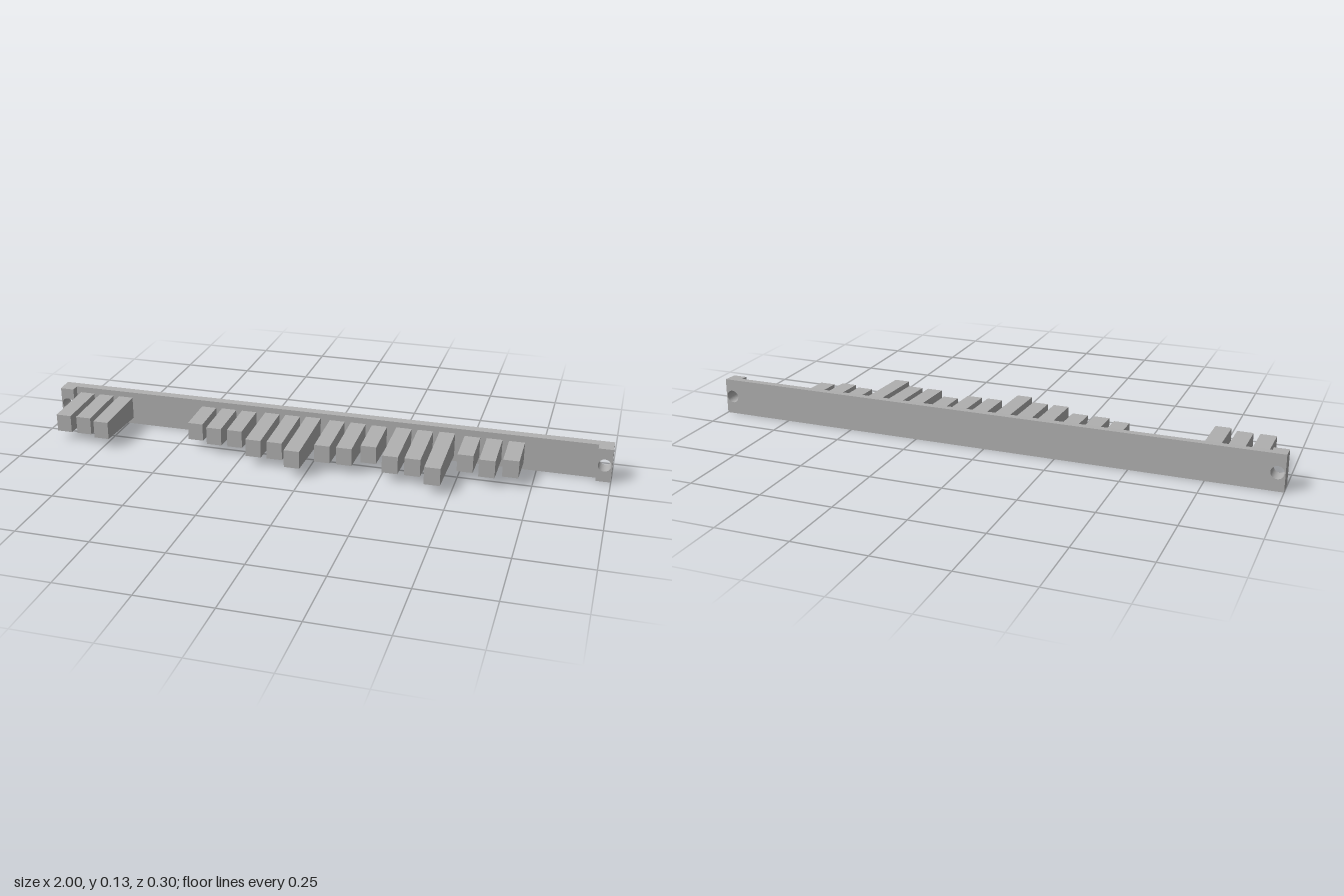
import * as THREE from 'three';

const BACK = -0.149, FACE = -0.12, PAD = -0.092, MID = 0.063;

export function createModel() {
  const model = new THREE.Group();
  model.name = 'codedBar';
  const grey = new THREE.MeshStandardMaterial({ color: 0xb0b0b0 });
  grey.name = 'plain grey';

  // Plate between two depths, drilled at the given x positions, with drafted top and bottom
  function plate(name, x0, x1, z0, z1, holes) {
    const shape = new THREE.Shape();
    shape.moveTo(x0, 0).lineTo(x1, 0).lineTo(x1, 2 * MID).lineTo(x0, 2 * MID).closePath();
    for (const x of holes) {
      shape.holes.push(new THREE.Path().absarc(x, MID, 0.022, 0, Math.PI * 2, true));
    }
    const geo = new THREE.ExtrudeGeometry(shape, { depth: z1 - z0, bevelEnabled: false, curveSegments: 24 });
    geo.translate(0, 0, z0);
    const p = geo.attributes.position;
    for (let i = 0; i < p.count; i++) {
      const d = p.getY(i) - MID;
      if (Math.abs(d) > 0.05) p.setY(i, MID + d - Math.sign(d) * 0.06 * (p.getZ(i) - BACK));
    }
    geo.computeVertexNormals();
    const mesh = new THREE.Mesh(geo, grey);
    mesh.name = name;
    model.add(mesh);
  }

  // Tooth with a constant tip height, growing taller toward its root
  function tooth(x, tip) {
    const length = tip - FACE;
    const geo = new THREE.BoxGeometry(0.054, 0.062, length);
    const p = geo.attributes.position;
    for (let i = 0; i < p.count; i++) {
      if (p.getZ(i) < 0) p.setY(i, p.getY(i) + Math.sign(p.getY(i)) * 0.041 * length);
    }
    geo.computeVertexNormals();
    const mesh = new THREE.Mesh(geo, grey);
    mesh.position.set(x, 0.064, FACE + length / 2);
    mesh.name = 'tooth';
    model.add(mesh);
  }

  // Long back bar and the two drilled end pads
  plate('backBar', -1, 1, BACK, FACE, [-0.975, 0.975]);
  plate('rightEndPad', -1, -0.95, FACE, PAD, [-0.975]);
  plate('leftEndPad', 0.95, 1, FACE, PAD, [0.975]);

  // Teeth in groups of three, the second group being empty
  const groups = [
    [0.08, 0.08, 0.1], [], [0.022, 0.043, 0.043], [0.1, 0.1, 0.149],
    [0.08, 0.08, 0.043], [0.1, 0.1, 0.149], [0.022, 0.043, 0.022],
  ];
  groups.forEach((tips, g) => tips.forEach((tip, i) => tooth(-0.907 + g * 0.239 + i * 0.076, tip)));

  return model;
}
